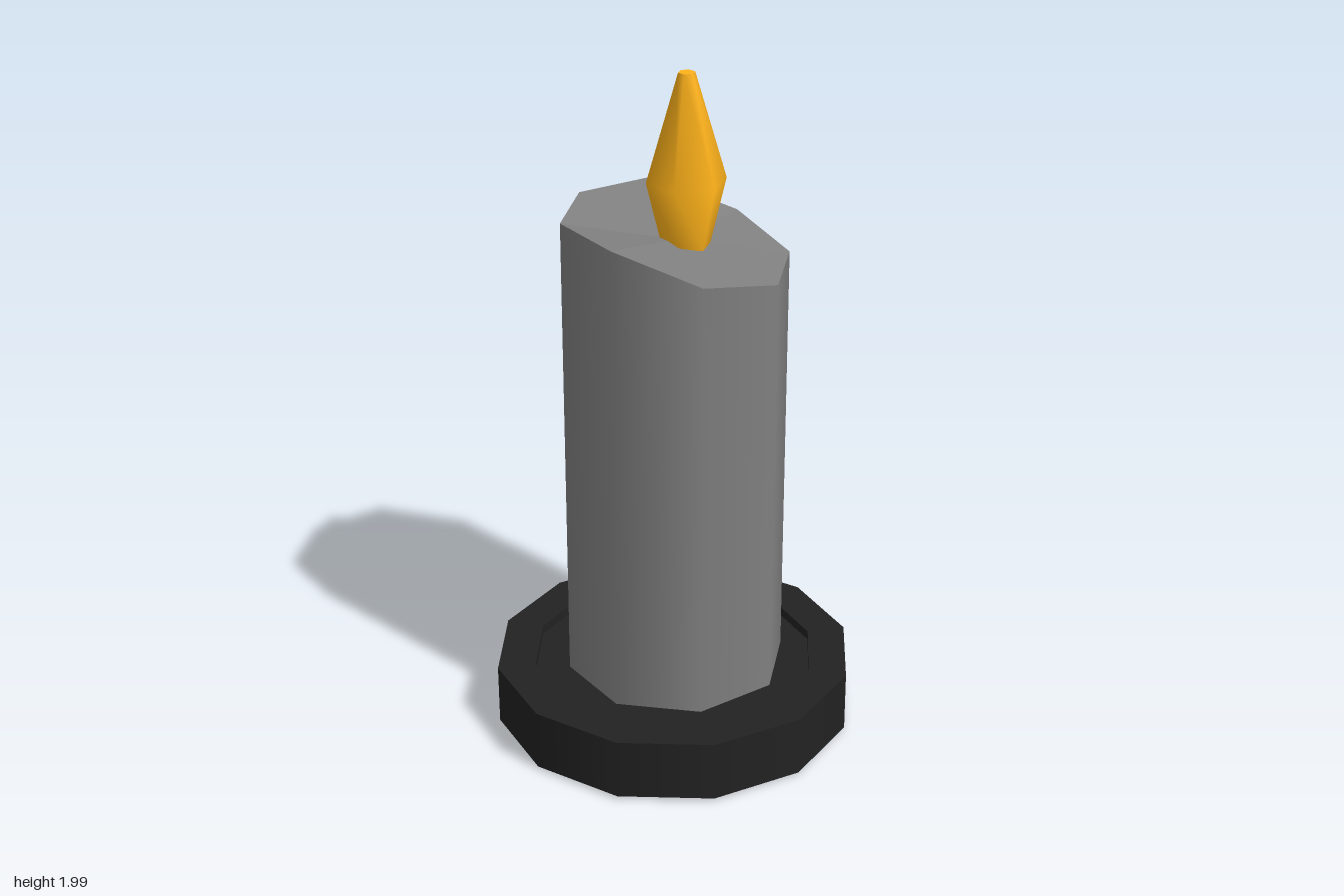
import * as THREE from 'three';
import { mergeGeometries } from 'three/addons/utils/BufferGeometryUtils.js';

// Turned solid from profile sections: smooth within a section, sharp between sections
function turned(sections, sides, phase = 0) {
  return mergeGeometries(sections.map((pts) => new THREE.LatheGeometry(
    pts.map(([r, y]) => new THREE.Vector2(r, y)), sides, phase)));
}

function add(group, name, geometry, color) {
  const mesh = new THREE.Mesh(geometry, new THREE.MeshStandardMaterial({ color }));
  mesh.name = name;
  group.add(mesh);
  return mesh;
}

// Eight-sided leaning candle with an uneven, slanted top
function candleGeometry() {
  const sides = 8, radius = 0.33, bottomY = 0.15;
  // rim heights, starting at +z and going round towards +x
  const rim = [1.5, 1.45, 1.45, 1.5, 1.585, 1.59, 1.59, 1.59];

  const wall = new THREE.CylinderGeometry(radius, radius, 1, sides, 1, true);
  const p = wall.attributes.position;
  for (let i = 0; i < p.count; i++) {
    const top = i <= sides;
    p.setXYZ(i, p.getX(i) + (top ? 0.016 : 0.01), top ? rim[i % sides] : bottomY,
      p.getZ(i) - (top ? 0.034 : 0.008));
  }

  // top as a fan of triangles meeting at a slightly sunken centre
  const corners = [];
  for (let i = 0; i < sides; i++) {
    corners.push(0.016, 1.515, -0.034);
    for (const k of [i, i + 1]) corners.push(p.getX(k), p.getY(k), p.getZ(k));
  }
  const cap = new THREE.BufferGeometry();
  cap.setAttribute('position', new THREE.Float32BufferAttribute(corners, 3));
  cap.setAttribute('uv', new THREE.Float32BufferAttribute(new Float32Array(sides * 6), 2));
  cap.computeVertexNormals();
  return mergeGeometries([wall.toNonIndexed(), cap]);
}

export function createModel() {
  const model = new THREE.Group();
  model.name = 'candle';

  // Twelve-sided dish with a shallow recess, tilted very slightly
  const dish = add(model, 'dish', turned([
    [[0, 0], [0.54, 0]],
    [[0.54, 0], [0.54, 0.183]],
    [[0.54, 0.183], [0.425, 0.183]],
    [[0.425, 0.183], [0.425, 0.155]],
    [[0.425, 0.155], [0, 0.155]],
  ], 12), 0x222222);
  dish.position.y = 0.011;
  dish.rotation.x = -0.01;

  add(model, 'wax', candleGeometry(), 0x808080);

  // Six-sided flame
  const flame = add(model, 'flame', turned([
    [[0, 1.5], [0.07, 1.5]],
    [[0.07, 1.5], [0.115, 1.69], [0.024, 2]],
    [[0.024, 2], [0, 2]],
  ], 6, Math.PI / 2), 0xffb31a);
  flame.position.set(0.043, 0, -0.03);

  return model;
}
